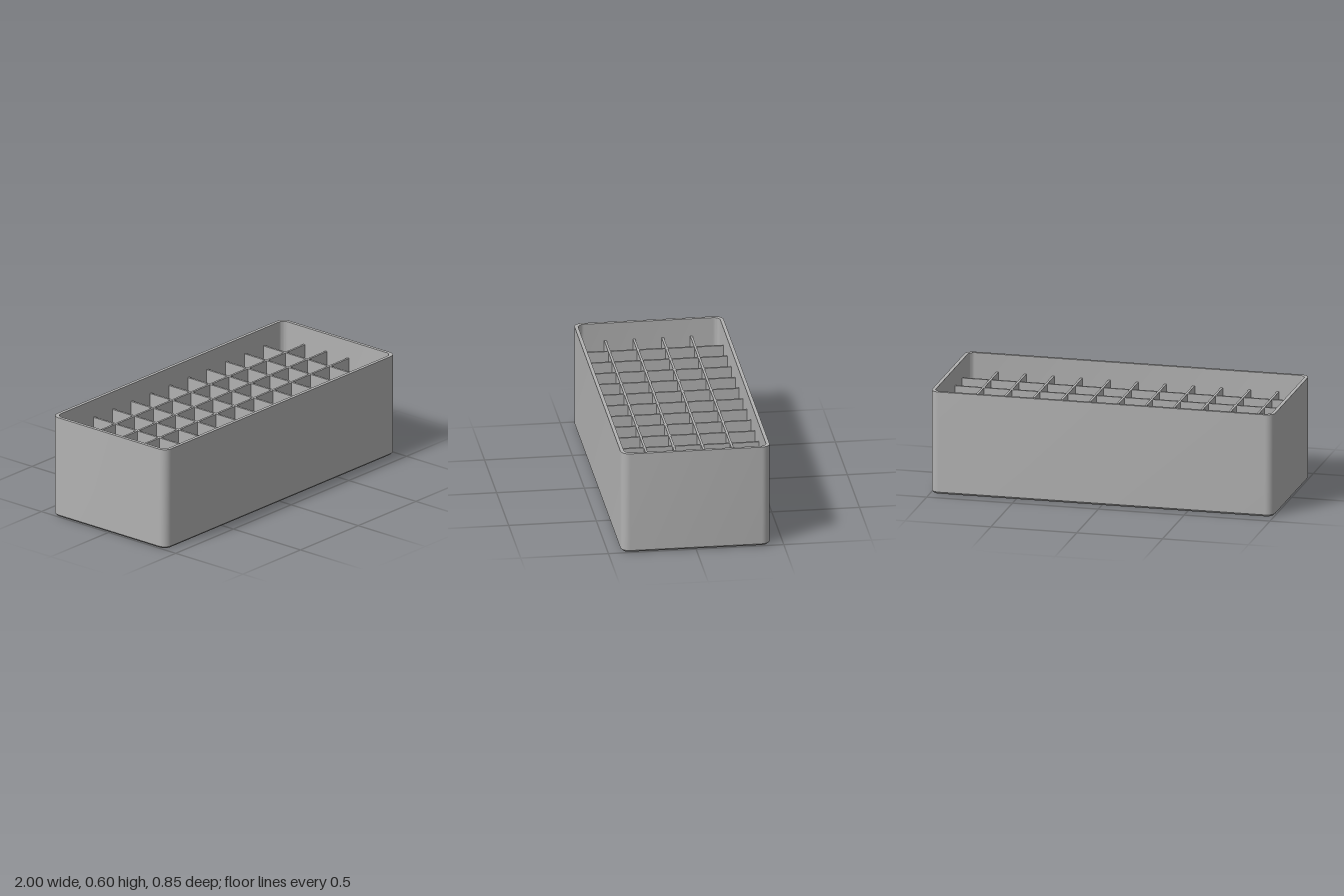
import * as THREE from 'three';
import { toCreasedNormals } from 'three/addons/utils/BufferGeometryUtils.js';

const HX = 1, HZ = 0.425, H = 0.6;      // outer half sizes and height
const WALL = 0.02, FLOOR = 0.02, CHAMFER = 0.012;
const CORNER = 0.05, CORNER_STEPS = 8;
const DIVIDER_TOP = 0.495, DIVIDER_THICK = 0.013, PITCH = 0.1635;

// Rounded rectangle, pulled in by inset, at height y
function ring(inset, y) {
  const r = Math.max(CORNER - inset, 0.038);
  const cx = HX - inset - r, cz = HZ - inset - r;
  const points = [];
  [[1, 1], [-1, 1], [-1, -1], [1, -1]].forEach(([sx, sz], q) => {
    for (let i = 0; i <= CORNER_STEPS; i++) {
      const a = (q + i / CORNER_STEPS) * Math.PI / 2;
      points.push([sx * cx + r * Math.cos(a), y, sz * cz + r * Math.sin(a)]);
    }
  });
  return points;
}

// Skin over a sequence of rings, closed at both ends with a flat fan
function loft(rings) {
  const n = rings[0].length;
  const centre = (y) => Array.from({ length: n }, () => [0, y, 0]);
  const all = [centre(rings[0][0][1]), ...rings, centre(rings.at(-1)[0][1])];
  const pos = [];
  for (let k = 0; k < all.length - 1; k++) {
    const a = all[k], b = all[k + 1];
    for (let i = 0; i < n; i++) {
      const j = (i + 1) % n;
      if (k > 0) pos.push(...a[i], ...b[i], ...a[j]);
      if (k < all.length - 2) pos.push(...a[j], ...b[i], ...b[j]);
    }
  }
  const g = new THREE.BufferGeometry();
  g.setAttribute('position', new THREE.Float32BufferAttribute(pos, 3));
  return toCreasedNormals(g, 0.5);
}

export function createModel() {
  const model = new THREE.Group();
  model.name = 'compartmentBox';
  const grey = new THREE.MeshStandardMaterial({ color: 0xb2b2b2 });
  grey.name = 'grey plastic';

  const add = (name, geometry, x = 0, y = 0, z = 0) => {
    const mesh = new THREE.Mesh(geometry, grey);
    mesh.name = name;
    mesh.position.set(x, y, z);
    model.add(mesh);
  };

  // Open tray: chamfered base, walls, rim, cavity and floor
  add('tray', loft([
    ring(CHAMFER, 0),
    ring(0, CHAMFER),
    ring(0, H),
    ring(WALL, H),
    ring(WALL, FLOOR + CHAMFER),
    ring(WALL + CHAMFER, FLOOR),
  ]));

  // Grid of dividers: 12 columns by 5 rows
  const height = DIVIDER_TOP - FLOOR + 0.005;
  const y = DIVIDER_TOP - height / 2;
  const cross = new THREE.BoxGeometry(DIVIDER_THICK, height, 2 * (HZ - WALL) + 0.01);
  const along = new THREE.BoxGeometry(2 * (HX - WALL) + 0.01, height, DIVIDER_THICK);
  for (let i = -5; i <= 5; i++) add('crossDivider', cross, i * PITCH, y, 0);
  for (let i = -1.5; i <= 1.5; i++) add('longDivider', along, 0, y, i * PITCH);

  return model;
}
